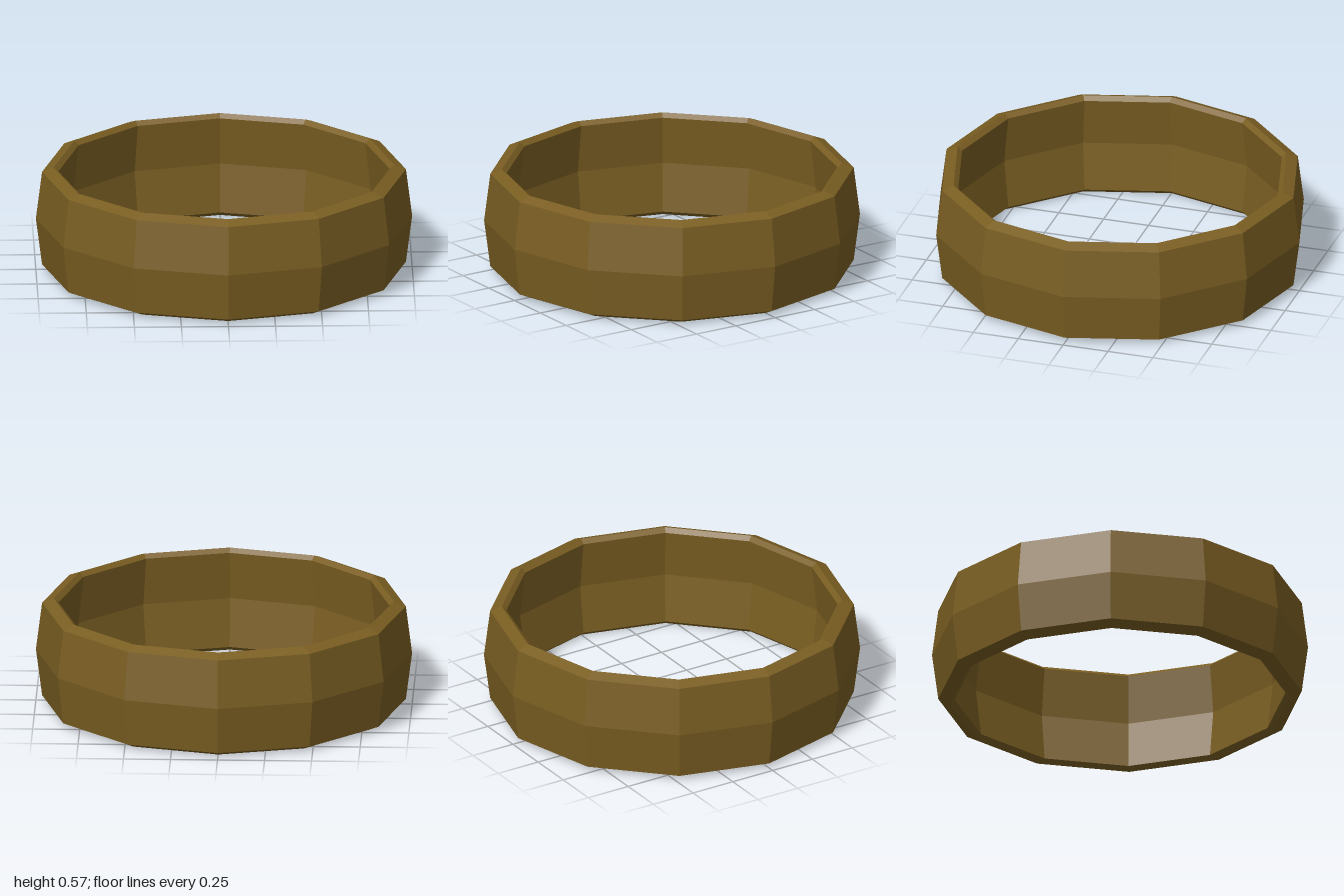
import * as THREE from 'three';

export function createModel() {
  const group = new THREE.Group();
  group.name = 'ring';

  // Closed band section (radius, height): bowed wall of even thickness with bevelled rims
  const section = [
    [0.905, 0], [0.967, 0.028], [1, 0.285], [0.967, 0.545], [0.905, 0.57],
    [0.88, 0.548], [0.912, 0.285], [0.88, 0.022], [0.905, 0],
  ].map(([r, y]) => new THREE.Vector2(r, y));

  // Twelve-sided faceted band, with corners on the x and z axes
  const band = new THREE.Mesh(
    new THREE.LatheGeometry(section, 12),
    new THREE.MeshStandardMaterial({ color: 0x7a5e22, flatShading: true }),
  );
  band.name = 'band';
  group.add(band);
  return group;
}
